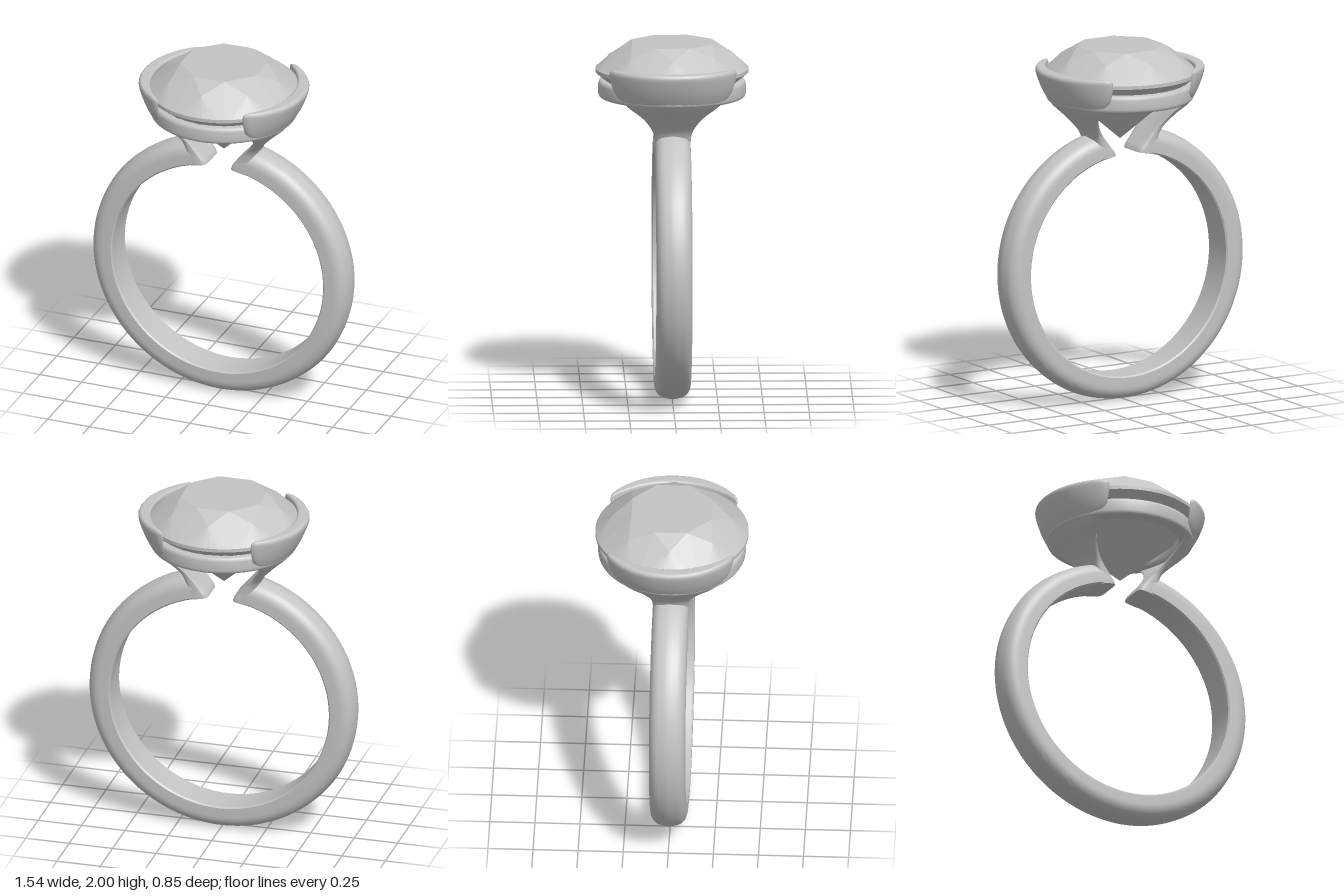
import * as THREE from 'three';
import { toCreasedNormals } from 'three/addons/utils/BufferGeometryUtils.js';

const RING_Y = 0.77, INNER_R = 0.63;

// Finger band: D-shaped profile revolved, open at the top
function bandGeometry() {
  const pts = [[0.63, -0.092], [0.638, -0.1], [0.69, -0.1]];
  for (let i = 1; i < 8; i++) {
    const a = (i / 8) * Math.PI / 2;
    pts.push([0.69 + 0.072 * Math.sin(a), -0.035 - 0.065 * Math.cos(a)]);
  }
  pts.push([0.767, -0.02], [0.77, 0]);
  const mirror = pts.slice(0, -1).reverse().map(([r, z]) => [r, -z]);
  const loop = [...pts, ...mirror, pts[0]].map(p => new THREE.Vector2(...p));
  const gap = THREE.MathUtils.degToRad(13);
  const g = new THREE.LatheGeometry(loop, 128, gap, Math.PI * 2 - 2 * gap);
  g.rotateX(-Math.PI / 2);
  g.translate(0, RING_Y, 0);
  return toCreasedNormals(g, 0.7);
}

// Curved half-bezel that flares from the band to clasp the stone
function claspGeometry() {
  // height, half width, inner x, outer x
  const levels = [
    [1.36, 0.099, 0.07, 0.2], [1.41, 0.1, 0.075, 0.205], [1.46, 0.1, 0.117, 0.21],
    [1.53, 0.112, 0.182, 0.235], [1.61, 0.165, 0.252, 0.308], [1.68, 0.25, 0.325, 0.383],
    [1.74, 0.312, 0.365, 0.425], [1.8, 0.34, 0.392, 0.455], [1.86, 0.352, 0.403, 0.476],
    [1.882, 0.348, 0.407, 0.472], [1.89, 0.335, 0.418, 0.46],
  ];
  const curve = (a, b) => new THREE.CatmullRomCurve3(
    levels.map(l => new THREE.Vector3(l[a], l[b], 0)), false, 'catmullrom');
  const shape = curve(0, 1), sides = curve(2, 3);
  const rows = 50, n = 48, R = 0.44, pos = [], idx = [];
  const power = (v, e) => Math.sign(v) * Math.abs(v) ** e;
  for (let i = 0; i <= rows; i++) {
    const { x: h, y: w } = shape.getPoint(i / rows);
    const { x: xi, y: xo } = sides.getPoint(i / rows);
    for (let j = 0; j < n; j++) {
      const a = (j / n) * Math.PI * 2;
      const z = w * power(Math.sin(a), 0.75);
      const sag = R - Math.sqrt(R * R - z * z);
      const x = (xi + xo) / 2 - sag + (xo - xi) / 2 * power(Math.cos(a), 0.5);
      // the foot follows the inside of the band
      const floor = RING_Y + Math.sqrt(INNER_R ** 2 - Math.min(x * x, 0.3));
      pos.push(x, i < rows / 2 ? Math.max(h, floor) : h, z);
      if (i < rows) {
        const p = i * n + j, q = i * n + (j + 1) % n;
        idx.push(p, p + n, q, q, p + n, q + n);
      }
    }
  }
  // caps: strips across the thickness
  for (let j = 0; j < n / 2; j++) {
    const a = j, b = j + 1, c = (n / 2 - j + n) % n, d = (n / 2 - j - 1 + n) % n;
    if (j >= n / 4) break;
    const e = (n - a) % n, f = (n - b) % n, g = (n / 2 + j) % n, k = (n / 2 + j + 1) % n;
    for (const [o, up] of [[0, false], [rows * n, true]]) {
      for (const t of [[a, d, b], [a, c, d], [e, f, k], [e, k, g]]) {
        const s = t.map(v => v + o);
        idx.push(...(up ? s : s.reverse()));
      }
    }
  }
  const geo = new THREE.BufferGeometry();
  geo.setAttribute('position', new THREE.Float32BufferAttribute(pos, 3));
  geo.setIndex(idx);
  geo.computeVertexNormals();
  return geo;
}

// Round brilliant stone with flat facets
function gemGeometry() {
  const pos = [], centre = new THREE.Vector3(0, 1.8, 0);
  const at = (r, y, eighths) => {
    const a = eighths * Math.PI / 4;
    return new THREE.Vector3(r * Math.sin(a), y, r * Math.cos(a));
  };
  const tri = (a, b, c) => {
    const normal = b.clone().sub(a).cross(c.clone().sub(a));
    const out = a.clone().add(b).add(c).divideScalar(3).sub(centre);
    for (const p of normal.dot(out) > 0 ? [a, b, c] : [a, c, b]) pos.push(p.x, p.y, p.z);
  };
  const table = k => at(0.24, 2, k + 0.5), star = k => at(0.33, 1.945, k);
  const girdle = (k, y) => at(0.425, y, k);
  const top = new THREE.Vector3(0, 2, 0), culet = new THREE.Vector3(0, 1.47, 0);
  for (let k = 0; k < 8; k++) {
    tri(top, table(k - 1), table(k));
    tri(star(k), table(k - 1), table(k));
    // kite facet
    tri(table(k), star(k), girdle(k + 0.5, 1.855));
    tri(table(k), star(k + 1), girdle(k + 0.5, 1.855));
    for (let s = -4; s < 4; s++) {
      const u = k + s / 8, v = k + (s + 1) / 8;
      tri(star(k), girdle(u, 1.855), girdle(v, 1.855));
      tri(girdle(u, 1.855), girdle(v, 1.855), girdle(u, 1.835));
      tri(girdle(v, 1.855), girdle(u, 1.835), girdle(v, 1.835));
      // pavilion
      const mid = at(0.33, 1.758, Math.floor(u * 2) / 2 + 0.25);
      tri(girdle(u, 1.835), girdle(v, 1.835), mid);
    }
    for (const h of [0, 0.5]) {
      const a = girdle(k + h, 1.835), b = girdle(k + h + 0.5, 1.835);
      const mid = at(0.33, 1.758, k + h + 0.25);
      tri(a, mid, culet);
      tri(b, mid, culet);
    }
  }
  const g = new THREE.BufferGeometry();
  g.setAttribute('position', new THREE.Float32BufferAttribute(pos, 3));
  g.computeVertexNormals();
  return g;
}

// Gallery rail: rounded hoop under the stone
function railGeometry() {
  const pts = [];
  for (let i = 0; i <= 24; i++) {
    const a = (i / 24) * Math.PI * 2 - Math.PI / 2;
    const p = v => Math.sign(v) * Math.sqrt(Math.abs(v));
    pts.push(new THREE.Vector2(0.365 + 0.045 * p(Math.cos(a)), 1.742 + 0.05 * p(Math.sin(a))));
  }
  return new THREE.LatheGeometry(pts, 96);
}

export function createModel() {
  const group = new THREE.Group();
  group.name = 'ring';
  const silver = new THREE.MeshStandardMaterial({ color: 0xc4c4c4 });
  silver.name = 'silver';
  const add = (name, geometry) => {
    const mesh = new THREE.Mesh(geometry, silver);
    mesh.name = name;
    group.add(mesh);
    return mesh;
  };
  add('band', bandGeometry());
  add('galleryRail', railGeometry());
  add('gemstone', gemGeometry());
  const clasp = claspGeometry();
  add('leftClasp', clasp);
  add('rightClasp', clasp).rotation.y = Math.PI;
  return group;
}
